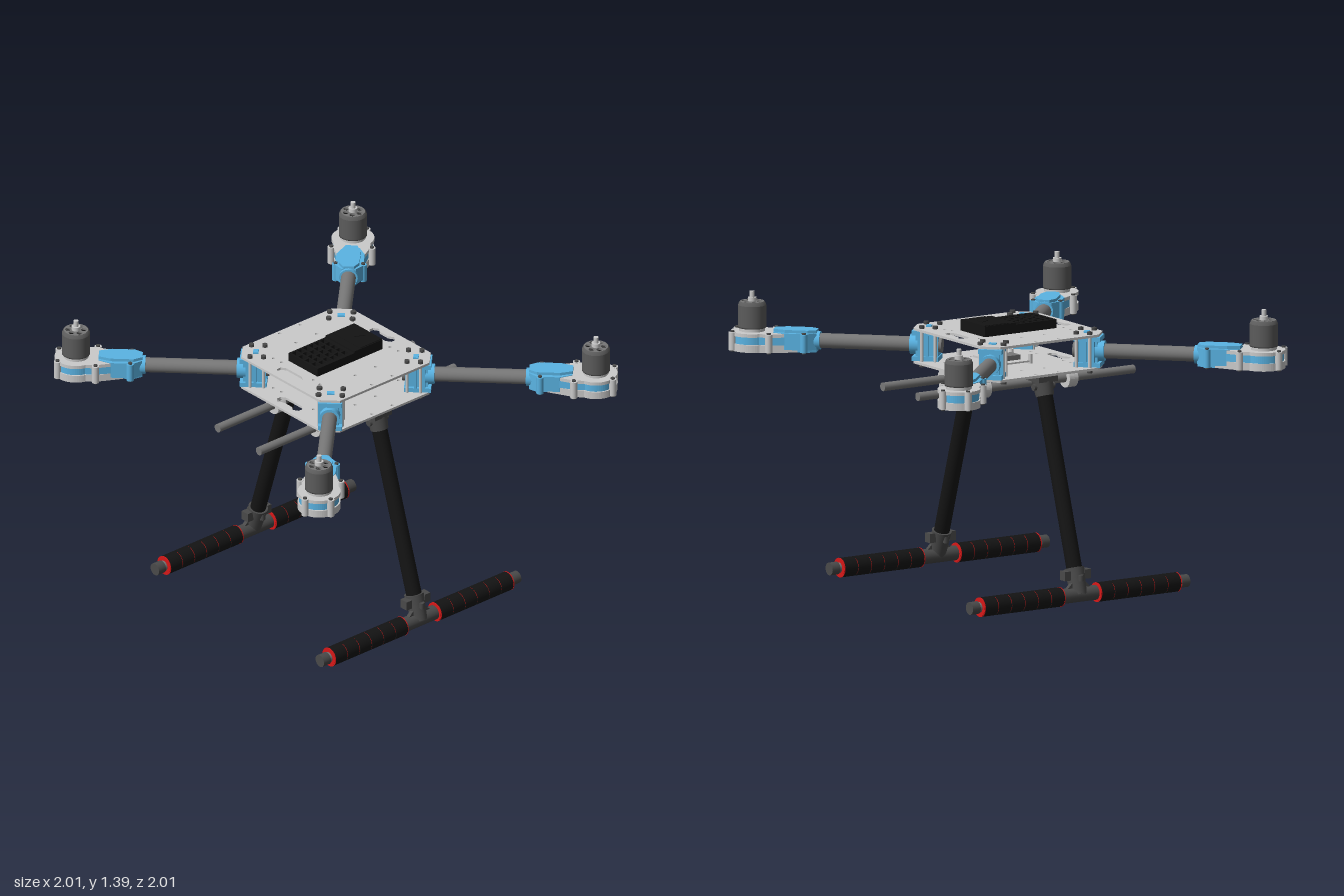
import * as THREE from 'three';

const mat = (color) => new THREE.MeshStandardMaterial({ color });
const GREY = mat(0xcccccc), TUBE = mat(0x777777), DARK = mat(0x4a4a4a), BLACK = mat(0x141414),
  BLUE = mat(0x5ab4e4), RED = mat(0xd81818), LIGHT = mat(0xe8e8e0);
const V = (x, y, z) => new THREE.Vector3(x, y, z);

function add(parent, name, geo, material, x = 0, y = 0, z = 0) {
  const m = new THREE.Mesh(geo, material);
  m.name = name;
  m.position.set(x, y, z);
  parent.add(m);
  return m;
}
const box = (p, name, m, w, h, d, x, y, z) => add(p, name, new THREE.BoxGeometry(w, h, d), m, x, y, z);

// Round bar between two points
function rod(p, name, m, a, b, r0, r1 = r0, seg = 24) {
  const dir = b.clone().sub(a);
  const mesh = add(p, name, new THREE.CylinderGeometry(r1, r0, dir.length(), seg), m);
  mesh.position.copy(a).add(b).multiplyScalar(0.5);
  mesh.quaternion.setFromUnitVectors(V(0, 1, 0), dir.normalize());
  return mesh;
}
const post = (p, name, m, x, z, y0, y1, r, seg = 16) => rod(p, name, m, V(x, y0, z), V(x, y1, z), r, r, seg);

// Flat slab cut from an x-z outline, between two heights
function slab(p, name, m, shape, y0, y1) {
  const geo = new THREE.ExtrudeGeometry(shape, { depth: y1 - y0, bevelEnabled: false, curveSegments: 20 });
  geo.rotateX(Math.PI / 2);
  return add(p, name, geo, m, 0, y1, 0);
}
const poly = (pts) => new THREE.Shape(pts.map(([x, y]) => new THREE.Vector2(x, y)));
function hole(shape, x, y, r) {
  shape.holes.push(new THREE.Path().absarc(x, y, r, 0, Math.PI * 2, true));
}

// Square deck plate with cut corners, hand slots and screw holes
function plateShape() {
  const e = 0.355, c = 0.285;
  const s = poly([[e, -c], [e, c], [c, e], [-c, e], [-e, c], [-e, -c], [-c, -e], [c, -e]]);
  for (const k of [-1, 1]) {
    s.holes.push(poly([[-0.012, -0.08], [0.012, -0.08], [0.028, -0.055], [0.012, -0.03], [0.012, 0.03],
      [0.028, 0.055], [0.012, 0.08], [-0.012, 0.08], [-0.028, 0.055], [-0.028, -0.055]]
      .map(([x, y]) => [k * (0.295 + x), y])));
    for (const j of [-1, 1]) {
      hole(s, k * 0.065, j * 0.335, 0.008);
      hole(s, k * 0.065, j * 0.215, 0.008);
      hole(s, k * 0.245, j * 0.115, 0.008);
      hole(s, k * 0.25, j * 0.17, 0.008);
    }
  }
  return s;
}

// Motor with slotted bell, standing at local x = t
function motor(t) {
  const g = new THREE.Group();
  g.name = 'motor';
  g.position.x = t;
  post(g, 'motorFoot', GREY, 0, 0, 1.195, 1.215, 0.062, 32);
  post(g, 'stator', BLACK, 0, 0, 1.21, 1.325, 0.056, 32);
  const pts = [[0.058, 1.215], [0.068, 1.215], [0.068, 1.222], [0.068, 1.325], [0.068, 1.325], [0.062, 1.34], [0.055, 1.343]];
  add(g, 'bell', new THREE.LatheGeometry(pts.map(([x, y]) => new THREE.Vector2(x, y)), 40),
    new THREE.MeshStandardMaterial({ color: 0x5c5c5c, side: THREE.DoubleSide }));
  const cap = new THREE.Shape().absarc(0, 0, 0.058, 0, Math.PI * 2);
  for (let i = 0; i < 6; i++) {
    const a = i * Math.PI / 3;
    hole(cap, 0.038 * Math.cos(a), 0.038 * Math.sin(a), 0.014);
  }
  slab(g, 'bellCap', TUBE, cap, 1.333, 1.343);
  post(g, 'propSeat', GREY, 0, 0, 1.34, 1.362, 0.021);
  post(g, 'shaft', GREY, 0, 0, 1.36, 1.392, 0.012);
  return g;
}

// Arm along local +x: root clamp, tube, motor mount and motor
function arm() {
  const g = new THREE.Group();
  g.name = 'arm';
  rod(g, 'armTube', TUBE, V(0.32, 1.162, 0), V(1.15, 1.162, 0), 0.036);

  // Root clamp with upright ribs and through bolts
  box(g, 'rootClamp', BLUE, 0.11, 0.15, 0.084, 0.39, 1.162, 0);
  for (const y of [1.1, 1.225]) box(g, 'clampFlange', BLUE, 0.13, 0.022, 0.115, 0.395, y, 0);
  for (const z of [-0.048, 0.048])
    for (const x of [0.345, 0.385, 0.425]) box(g, 'clampRib', BLUE, 0.014, 0.14, 0.02, x, 1.162, z);
  rod(g, 'clampCollar', BLUE, V(0.43, 1.162, 0), V(0.475, 1.162, 0), 0.049);
  box(g, 'clampKey', BLUE, 0.026, 0.01, 0.036, 0.385, 1.252, 0);
  for (const z of [-0.057, 0.057])
    for (const x of [0.345, 0.41]) {
      post(g, 'clampBolt', GREY, x, z, 1.062, 1.262, 0.008, 12);
      for (const y of [1.062, 1.25]) post(g, 'boltHead', DARK, x, z, y, y + 0.014, 0.014, 6);
    }

  // Motor mount: teardrop layers
  const t = 1.25;
  const drop = (r, w, x0) => {
    const s = new THREE.Shape();
    s.moveTo(x0, -w);
    s.lineTo(t - 0.1, -r * 0.86);
    s.absarc(t, 0, r, -2.1, 2.1, false);
    s.lineTo(t - 0.1, r * 0.86);
    s.lineTo(x0, w);
    return s;
  };
  slab(g, 'mountBase', GREY, drop(0.103, 0.05, 1.02), 1.108, 1.145);
  slab(g, 'mountBody', BLUE, drop(0.096, 0.052, 1.0), 1.145, 1.182);
  slab(g, 'mountTop', GREY, drop(0.103, 0.05, 1.02), 1.182, 1.199);
  const hex = (k) => poly([[0.93, -0.035 * k], [0.97, -0.068 * k], [1.08, -0.068 * k], [1.14, -0.04 * k],
    [1.14, 0.04 * k], [1.08, 0.068 * k], [0.97, 0.068 * k], [0.93, 0.035 * k]]);
  slab(g, 'tubeClamp', BLUE, hex(1), 1.122, 1.202);
  slab(g, 'tubeClampRidge', BLUE, hex(0.72), 1.108, 1.216);
  rod(g, 'tubeCollar', BLUE, V(0.915, 1.162, 0), V(0.95, 1.162, 0), 0.045);
  for (const [x, z] of [[1.335, 0.062], [1.15, 0.098], [0.985, 0.066]])
    for (const k of [-1, 1]) {
      post(g, 'mountLug', x < 1 ? BLUE : GREY, x, k * z, 1.112, 1.2, 0.018);
      post(g, 'mountScrew', DARK, x, k * z, 1.105, 1.207, 0.01, 8);
    }
  g.add(motor(t));
  return g;
}

// Landing leg leaning outwards to +z, with its padded skid
function leg() {
  const g = new THREE.Group();
  g.name = 'landingLeg';
  const at = (y) => V(0, y, 0.605 - (y - 0.05) * 0.312);
  rod(g, 'legTube', BLACK, at(0.12), at(1.04), 0.038);
  rod(g, 'legSocket', DARK, at(0.975), at(1.05), 0.044, 0.052);
  box(g, 'socketFoot', DARK, 0.11, 0.03, 0.11, 0, 1.062, 0.29);
  rod(g, 'socketPin', DARK, at(1.02).setX(-0.06), at(1.02).setX(0.06), 0.016);
  rod(g, 'teeSleeve', DARK, at(0.05), at(0.175), 0.04, 0.048);
  for (const k of [-1, 1]) {
    box(g, 'teeEar', DARK, 0.035, 0.045, 0.045, k * 0.058, 0.145, 0.578);
    const web = poly([[k * 0.03, 0.12], [k * 0.09, 0.06], [k * 0.03, 0.04]]);
    add(g, 'teeWeb', new THREE.ExtrudeGeometry(web, { depth: 0.02, bevelEnabled: false }), DARK, 0, 0, 0.588);
  }
  for (const z of [0.535, 0.625]) post(g, 'teeBolt', DARK, 0, z, 0.12, 0.15, 0.014, 8);
  const bar = (name, m, x0, x1, r) => rod(g, name, m, V(x0, 0.05, 0.6), V(x1, 0.05, 0.6), r);
  bar('skidTube', TUBE, -0.61, 0.61, 0.026);
  bar('teeBar', DARK, -0.1, 0.1, 0.036);
  for (const k of [-1, 1]) {
    bar('skidCap', DARK, k * 0.585, k * 0.63, 0.031);
    bar('padCore', RED, k * 0.103, k * 0.572, 0.0445);
    for (let i = 0; i < 6; i++) {
      const x = 0.108 + i * 0.077;
      bar('foamPad', BLACK, k * x, k * (x + 0.073), 0.047);
    }
    for (const x of [0.104, 0.567]) bar('padEnd', RED, k * x, k * (x + 0.004), 0.048);
  }
  return g;
}

// Flight controller: case with open connector wells and a raised lid
function controller() {
  const g = new THREE.Group();
  g.name = 'flightController';
  const s = poly([[-0.21, -0.105], [0.03, -0.105], [0.03, 0.105], [-0.21, 0.105]]);
  for (let c = 0; c < 6; c++) {
    const x = -0.2 + c * 0.036, n = c % 2 ? 5 : 4, h = 0.19 / n;
    for (let r = 0; r < n; r++) {
      const z = -0.095 + r * h;
      s.holes.push(poly([[x, z], [x + 0.027, z], [x + 0.027, z + h - 0.01], [x, z + h - 0.01]]));
    }
  }
  slab(g, 'connectorCase', BLACK, s, 1.25, 1.293);
  box(g, 'wellFloor', LIGHT, 0.22, 0.004, 0.2, -0.09, 1.254, 0);
  box(g, 'caseBody', BLACK, 0.18, 0.052, 0.21, 0.115, 1.276, 0);
  box(g, 'caseLid', BLACK, 0.14, 0.006, 0.2, 0.135, 1.302, 0);
  slab(g, 'headingMark', BLACK, poly([[0.115, 0], [0.165, 0.025], [0.165, -0.025]]), 1.304, 1.308);
  return g;
}

export function createModel() {
  const model = new THREE.Group();
  model.name = 'quadcopter';
  const plate = plateShape();
  slab(model, 'topPlate', GREY, plate, 1.238, 1.25);
  slab(model, 'bottomPlate', GREY, plate, 1.076, 1.088);
  for (let i = 0; i < 4; i++) {
    const a = arm();
    a.rotation.y = Math.PI / 4 + i * Math.PI / 2;
    model.add(a);
  }
  for (const turn of [0, Math.PI]) {
    const l = leg();
    l.rotation.y = turn;
    model.add(l);
  }
  model.add(controller());

  // Under-slung rails in ring hangers
  for (const z of [-0.15, 0.15]) {
    rod(model, 'rail', TUBE, V(-0.625, 1.012, z), V(0.625, 1.012, z), 0.021);
    for (const x of [-0.25, 0.25]) {
      const ring = new THREE.Shape().absarc(0, 0, 0.047, 0, Math.PI * 2);
      hole(ring, 0, 0, 0.021);
      const geo = new THREE.ExtrudeGeometry(ring, { depth: 0.05, bevelEnabled: false, curveSegments: 20 });
      geo.rotateY(Math.PI / 2);
      add(model, 'railHanger', geo, GREY, x - 0.025, 1.012, z);
      box(model, 'hangerFoot', GREY, 0.05, 0.022, 0.1, x, 1.066, z);
      box(model, 'hangerNeck', GREY, 0.05, 0.022, 0.07, x, 1.05, z);
    }
  }

  // Small bracket on the lower deck
  box(model, 'bracketTray', GREY, 0.14, 0.008, 0.17, 0, 1.1, 0);
  for (const z of [-0.08, 0.08])
    for (const x of [-0.075, 0.07]) post(model, 'bracketPost', GREY, x, z, 1.065, 1.135, 0.01, 12);
  box(model, 'bracketBlock', TUBE, 0.09, 0.025, 0.08, 0, 1.115, 0);
  box(model, 'bracketArm', GREY, 0.12, 0.01, 0.05, 0.125, 1.135, 0);
  box(model, 'bracketArmStem', GREY, 0.015, 0.05, 0.04, 0.08, 1.115, 0);
  return model;
}
